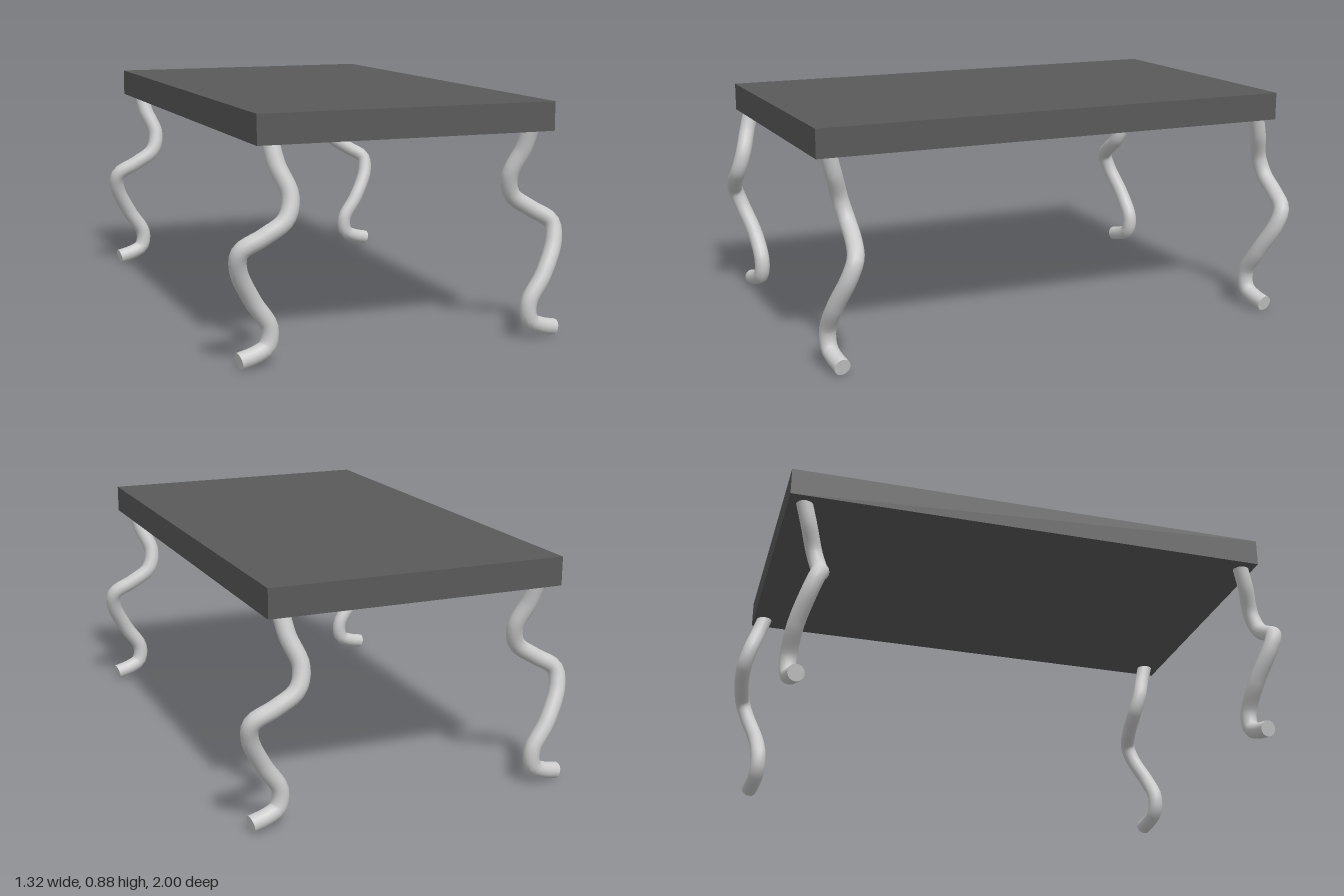
import * as THREE from 'three';

const RADIUS = 0.031;
const LEG_Z = 0.888;

// Leg centreline: [distance from middle in x, height, sideways swing in z]
const LEG_PATH = [
  [0.498, 0.78, 0.006],
  [0.483, 0.7, 0.03],
  [0.447, 0.6, 0.062],
  [0.468, 0.525, 0.08],
  [0.545, 0.47, 0.077],
  [0.622, 0.42, 0.058],
  [0.622, 0.355, 0.034],
  [0.56, 0.235, -0.003],
  [0.497, 0.135, -0.012],
  [0.506, 0.07, -0.01],
  [0.55, 0.046, -0.004],
  [0.612, 0.031, 0.004],
];

// Flat disc closing the end of a tube
function endCap(curve, t, outward, material) {
  const cap = new THREE.Mesh(new THREE.CircleGeometry(RADIUS, 16), material);
  const direction = curve.getTangentAt(t).multiplyScalar(outward);
  cap.quaternion.setFromUnitVectors(new THREE.Vector3(0, 0, 1), direction);
  cap.position.copy(curve.getPointAt(t));
  cap.name = 'footEnd';
  return cap;
}

function createLeg(name, sideX, sideZ, swing, material) {
  const points = LEG_PATH.map(([x, y, d]) =>
    new THREE.Vector3(sideX * x, y, sideZ * (LEG_Z + swing * d)));
  const curve = new THREE.CatmullRomCurve3(points, false, 'centripetal');
  const leg = new THREE.Group();
  leg.name = name;
  const tube = new THREE.Mesh(new THREE.TubeGeometry(curve, 48, RADIUS, 16), material);
  tube.name = 'legTube';
  leg.add(tube, endCap(curve, 1, 1, material));
  return leg;
}

export function createModel() {
  const model = new THREE.Group();
  model.name = 'table';
  const grey = new THREE.MeshStandardMaterial({ color: 0xcccccc });
  const dark = new THREE.MeshStandardMaterial({ color: 0x595959 });

  // Table top
  const top = new THREE.Mesh(new THREE.BoxGeometry(1.12, 0.106, 1.884), dark);
  top.position.y = 0.824;
  top.name = 'tableTop';
  model.add(top);

  // Wavy legs: diagonal pairs swing outward or inward
  model.add(
    createLeg('frontLeftLeg', 1, 1, -1, grey),
    createLeg('frontRightLeg', -1, 1, 1, grey),
    createLeg('backLeftLeg', 1, -1, 1, grey),
    createLeg('backRightLeg', -1, -1, -1, grey),
  );
  return model;
}
